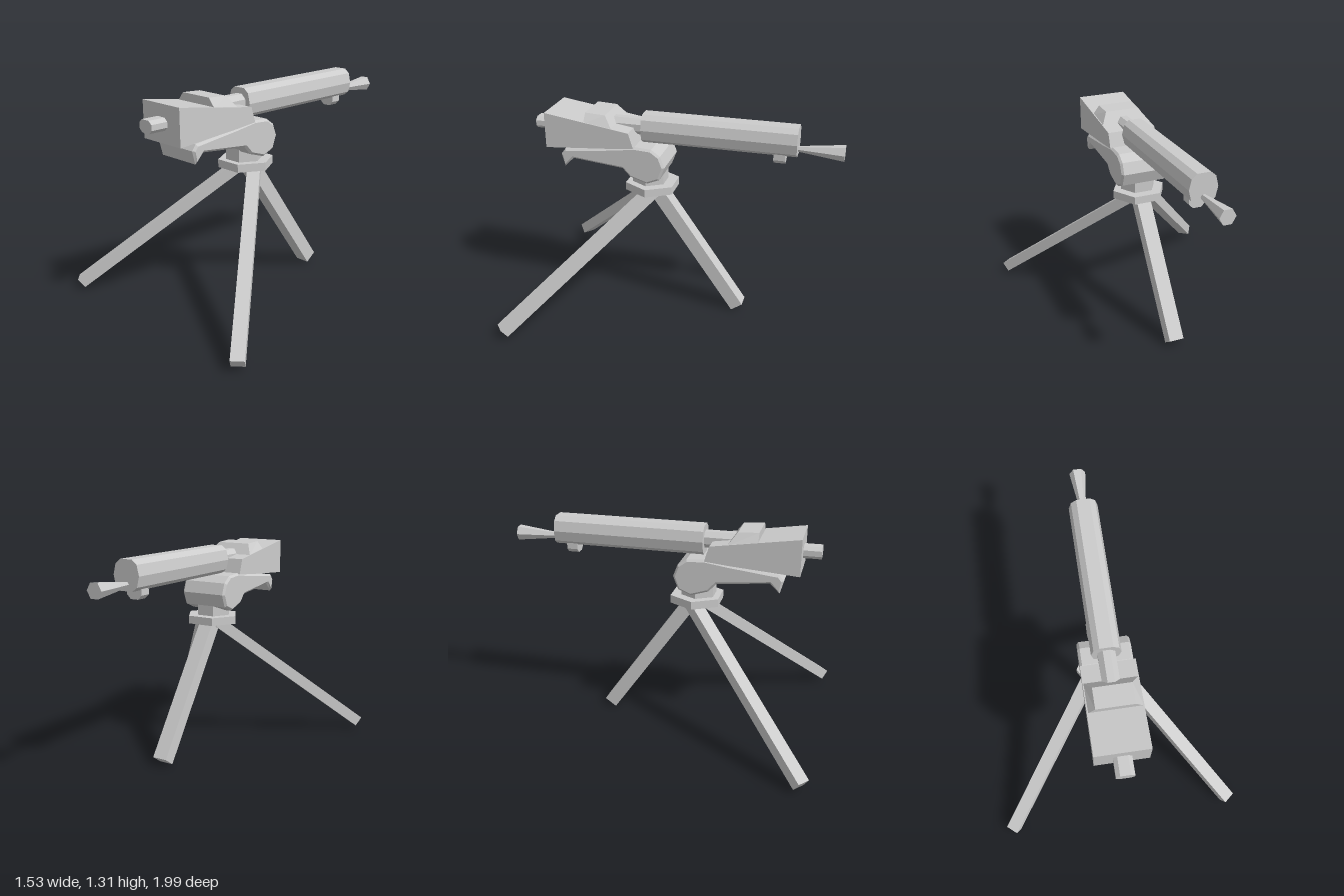
import * as THREE from 'three';

const grey = new THREE.MeshStandardMaterial({ color: 0xcccccc, flatShading: true });

export function createModel() {
  const model = new THREE.Group();
  const add = (name, geometry) => {
    const mesh = new THREE.Mesh(geometry, grey);
    mesh.name = name;
    model.add(mesh);
    return mesh;
  };
  const shapeOf = (pts) => new THREE.Shape(pts.map(([a, b]) => new THREE.Vector2(a, b)));

  // Side profile of [z, y] points, extruded symmetrically across x
  const sideExtrude = (pts, width, bevel = 0) => {
    const depth = width - 2 * bevel;
    const g = new THREE.ExtrudeGeometry(shapeOf(pts), {
      depth, bevelEnabled: bevel > 0, bevelSize: bevel, bevelThickness: bevel,
      bevelOffset: -bevel, bevelSegments: 1,
    });
    return g.translate(0, 0, -depth / 2).rotateY(-Math.PI / 2);
  };
  // Half section of [x, y] points, mirrored in x and run along z
  const lengthExtrude = (half, z0, z1) => {
    const pts = [...half, ...half.map(([x, y]) => [-x, y]).reverse()];
    const g = new THREE.ExtrudeGeometry(shapeOf(pts), { depth: z1 - z0, bevelEnabled: false });
    return g.translate(0, 0, z0);
  };
  // Six-sided prism with corners on the x axis
  const hex = (rTop, rBottom, h) => new THREE.CylinderGeometry(rTop, rBottom, h, 6, 1, false, Math.PI / 6);

  // Tripod
  const leg = (name, from, to, w, h) => {
    const a = new THREE.Vector3(...from), b = new THREE.Vector3(...to);
    const mesh = add(name, new THREE.BoxGeometry(w, h, a.distanceTo(b)));
    mesh.position.copy(a).add(b).multiplyScalar(0.5);
    mesh.lookAt(b);
  };
  for (const s of [1, -1]) {
    leg(s > 0 ? 'leftLeg' : 'rightLeg', [s * 0.05, 0.82, 0.15], [s * 0.723, 0.045, 0.95], 0.08, 0.068);
  }
  leg('centreLeg', [0, 0.82, 0.155], [0, 0.025, -0.4], 0.095, 0.086);

  // Swivel
  add('swivelPlate', hex(0.173, 0.173, 0.05).translate(0, 0.835, 0.178));
  add('swivelNeck', hex(0.115, 0.115, 0.1).translate(0, 0.9, 0.19));

  // Cradle with hooked grip
  add('cradle', sideExtrude([
    [0.706, 0.955], [0.647, 1.013], [0.326, 0.98], [0.278, 0.928], [0.17, 0.893],
    [0.09, 0.926], [0.058, 1.008], [0.085, 1.08], [0.14, 1.12], [0.246, 1.127],
    [0.4, 1.105], [0.7, 1.07], [0.727, 1.035],
  ], 0.312, 0.013));

  // Receiver
  add('receiver', sideExtrude([
    [0.82, 1.297], [0.82, 1.073], [0.4, 1.105], [0.25, 1.12], [0.28, 1.215],
  ], 0.318));

  // Tapered cover on the receiver: base ring, then top ring
  const cover = new THREE.BoxGeometry(2, 2, 2);
  const p = cover.attributes.position;
  for (let i = 0; i < p.count; i++) {
    const top = p.getY(i) > 0, rear = p.getZ(i) > 0;
    p.setXYZ(i,
      Math.sign(p.getX(i)) * (top ? 0.112 : 0.158),
      top ? (rear ? 1.307 : 1.3) : (rear ? 1.25 : 1.225),
      rear ? 0.567 : (top ? 0.44 : 0.385));
  }
  add('topCover', cover);

  // Rear stub
  add('rearStub', lengthExtrude([
    [0.03, 1.149], [0.053, 1.17], [0.053, 1.203], [0.03, 1.223],
  ], 0.8, 0.928));

  // Barrel
  add('barrelRoot', new THREE.CylinderGeometry(0.055, 0.055, 0.25, 8, 1, false, Math.PI / 8)
    .rotateX(Math.PI / 2).translate(0, 1.215, 0.315));
  add('barrelJacket', lengthExtrude([
    [0.04, 1.125], [0.073, 1.15], [0.088, 1.213], [0.073, 1.276], [0.04, 1.303],
  ], -0.727, 0.225));
  add('muzzle', hex(0.015, 0.05, 0.29).rotateX(Math.PI / 2).translate(0, 1.163, -0.855));

  // Lug under the jacket
  add('barrelLug', lengthExtrude([
    [0.025, 1.07], [0.05, 1.095], [0.05, 1.16],
  ], -0.657, -0.588));

  return model;
}
